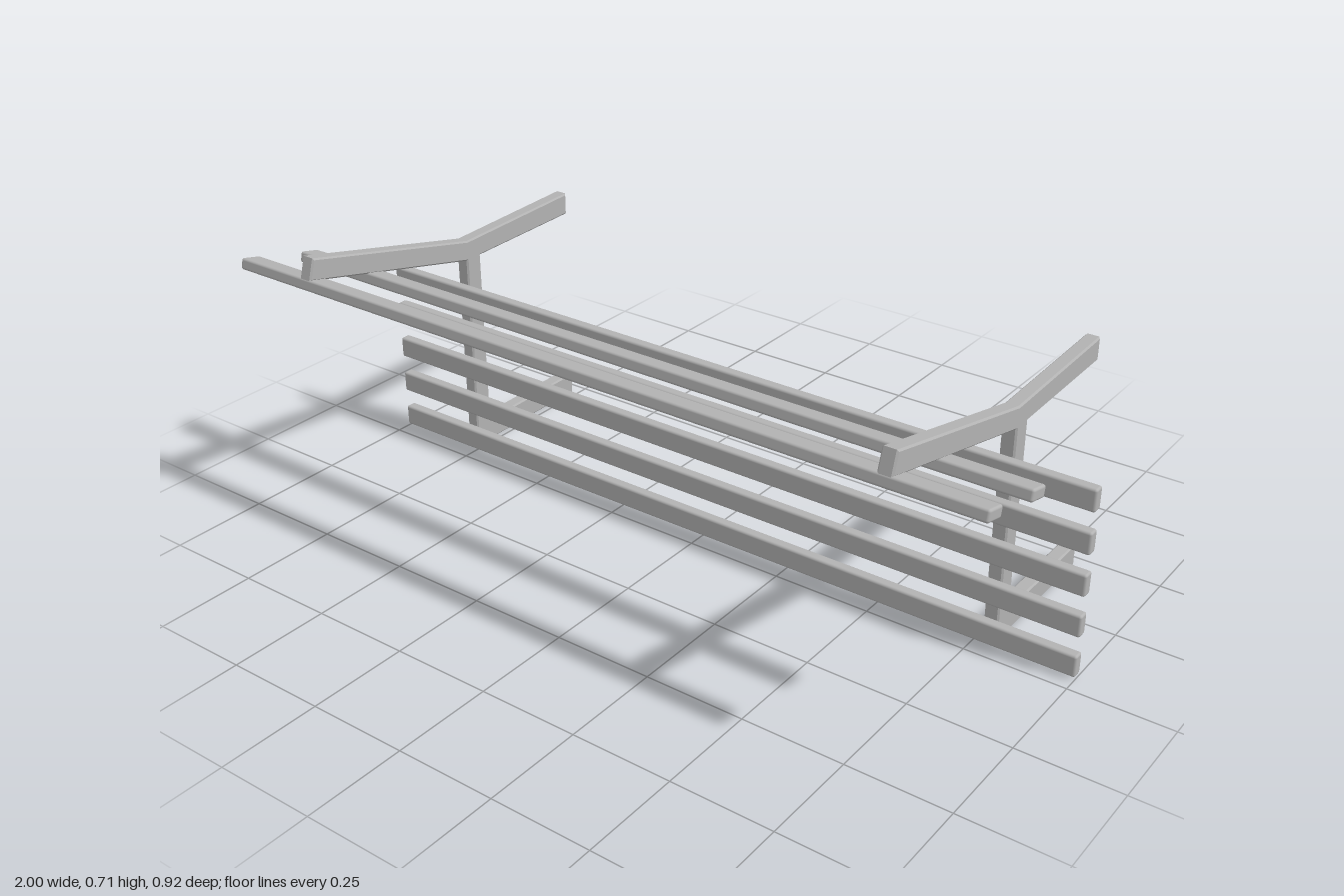
import * as THREE from 'three';
import { RoundedBoxGeometry } from 'three/addons/geometries/RoundedBoxGeometry.js';

export function createModel() {
  const model = new THREE.Group();
  model.name = 'slattedBench';
  const grey = new THREE.MeshStandardMaterial({ color: 0xb2b2b2 });
  grey.name = 'plain grey';

  // Side frame outline as (z, y): sloping arm, rear arm, post and foot in one piece
  const bevel = 0.004;
  const outline = [
    [0.44, 0.709], [-0.07, 0.59], [-0.46, 0.604], [-0.46, 0.546],
    [-0.115, 0.538], [-0.117, 0.06], [-0.46, 0.063], [-0.46, 0.004],
    [-0.1, 0], [-0.065, 0.003], [-0.065, 0.537], [0.456, 0.657],
  ].map(([z, y]) => new THREE.Vector2(z, y));
  const width = 0.036;
  const frameGeometry = new THREE.ExtrudeGeometry(new THREE.Shape(outline), {
    depth: width - 2 * bevel,
    bevelEnabled: true,
    bevelThickness: bevel,
    bevelSize: bevel,
    bevelOffset: -bevel,
    bevelSegments: 1,
  });
  frameGeometry.translate(0, 0, -width / 2 + bevel).rotateY(-Math.PI / 2);
  for (const side of [-1, 1]) {
    const frame = new THREE.Mesh(frameGeometry, grey);
    frame.name = side > 0 ? 'leftFrame' : 'rightFrame';
    frame.position.x = side * 0.78;
    model.add(frame);
  }

  // Full-length slats
  const addSlat = (name, height, depth, y, z, tilt = 0) => {
    const slat = new THREE.Mesh(new RoundedBoxGeometry(2, height, depth, 2, 0.006), grey);
    slat.name = name;
    slat.position.set(0, y, z);
    slat.rotation.x = tilt;
    model.add(slat);
  };

  // Five upright slats on the front of the posts
  for (let i = 0; i < 5; i++) {
    addSlat('frontSlat' + (i + 1), 0.055, 0.028, 0.033 + i * 0.103, -0.05);
  }

  // Two slats under the sloping arms
  const slope = -Math.atan2(0.119, 0.51);
  addSlat('outerArmSlat', 0.028, 0.055, 0.64, 0.433, slope);
  addSlat('innerArmSlat', 0.028, 0.055, 0.598, 0.251, slope);

  return model;
}
